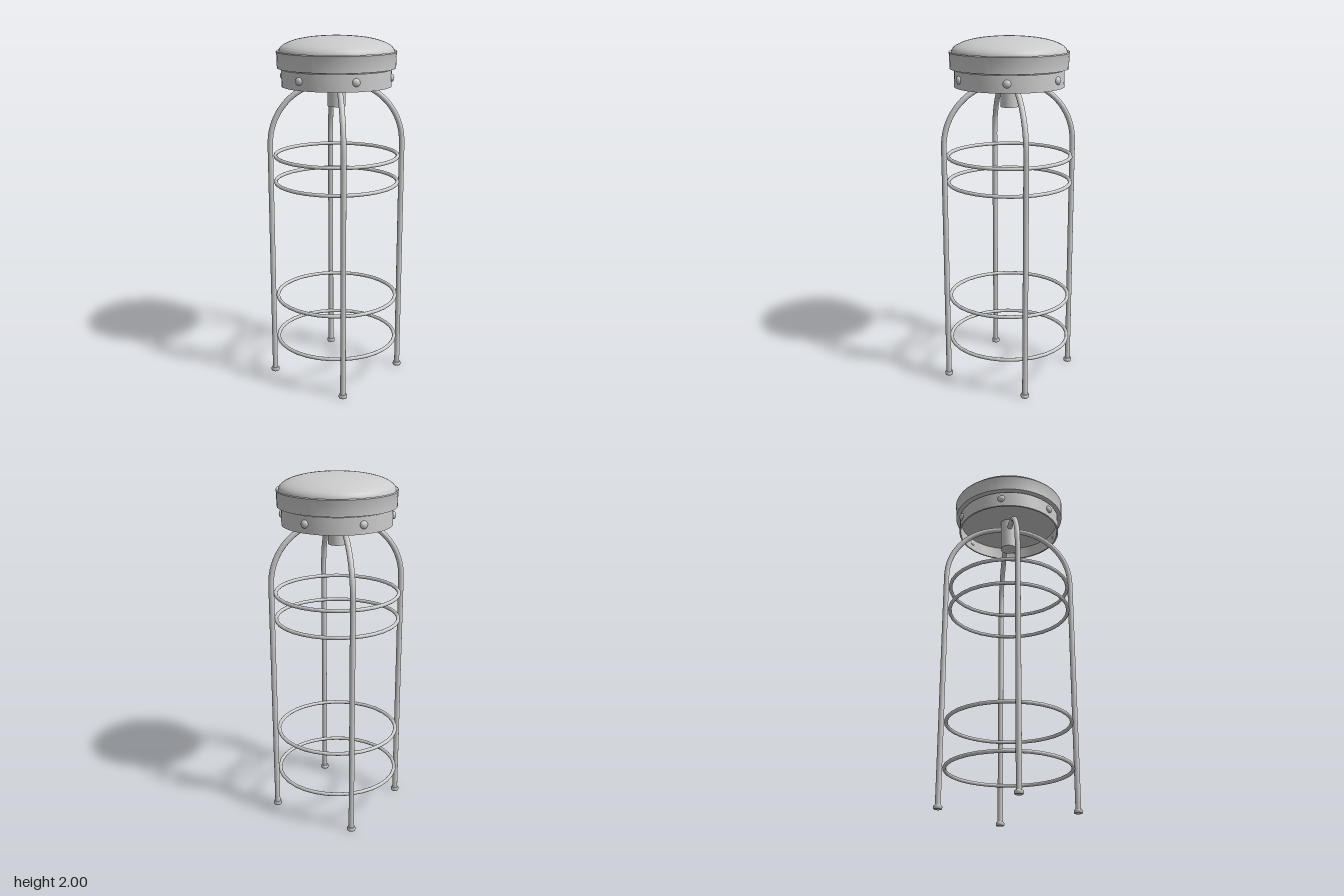
import * as THREE from 'three';
import { toCreasedNormals } from 'three/addons/utils/BufferGeometryUtils.js';

const metal = new THREE.MeshStandardMaterial({ color: 0xcccccc, side: THREE.DoubleSide });

function add(parent, name, geometry, x = 0, y = 0, z = 0) {
  const mesh = new THREE.Mesh(geometry, metal);
  mesh.name = name;
  mesh.position.set(x, y, z);
  parent.add(mesh);
  return mesh;
}

// Round part turned from [radius, height] points, keeping hard edges sharp
function turned(points, segments = 48) {
  const profile = points.map(([r, y]) => new THREE.Vector2(r, y));
  return toCreasedNormals(new THREE.LatheGeometry(profile, segments), 0.6);
}

export function createModel() {
  const stool = new THREE.Group();
  stool.name = 'barStool';

  // Domed cushion
  const dome = new THREE.SplineCurve([
    [0.322, 1.905], [0.316, 1.928], [0.295, 1.949], [0.25, 1.97],
    [0.18, 1.987], [0.09, 1.997], [0, 2.0],
  ].map(([r, y]) => new THREE.Vector2(r, y)));
  add(stool, 'cushion', new THREE.LatheGeometry(dome.getPoints(24), 48));

  // Seat band with a thin lip around the cushion
  add(stool, 'seatBand', turned([
    [0, 1.825], [0.329, 1.825], [0.331, 1.905], [0.334, 1.912], [0.331, 1.918], [0.32, 1.912],
  ]));

  // Hollow skirt below the seat, with a recessed underside
  add(stool, 'skirt', turned([
    [0, 1.8], [0.297, 1.8], [0.297, 1.725], [0.306, 1.725], [0.306, 1.818], [0.29, 1.818], [0.29, 1.826],
  ]));

  // Six domed rivets around the skirt
  const rivets = new THREE.Group();
  rivets.name = 'rivets';
  stool.add(rivets);
  for (let i = 0; i < 6; i++) {
    const a = THREE.MathUtils.degToRad(16 + i * 60);
    const rivet = add(rivets, 'rivet', new THREE.SphereGeometry(0.022, 16, 10),
      0.306 * Math.cos(a), 1.775, 0.306 * Math.sin(a));
    rivet.rotation.y = -a;
    rivet.scale.x = 0.7;
  }

  // Central hub where the legs meet
  add(stool, 'hub', turned([[0, 1.612], [0.05, 1.612], [0.05, 1.802]], 24));

  // Four straight legs that arch in to the hub
  const path = new THREE.CurvePath();
  path.add(new THREE.LineCurve3(new THREE.Vector3(0.375, 0.01, 0), new THREE.Vector3(0.375, 1.4, 0)));
  const arch = [];
  for (let i = 0; i <= 12; i++) {
    const a = (i / 12) * Math.PI / 2;
    arch.push(new THREE.Vector3(0.04 + 0.335 * Math.cos(a), 1.4 + 0.345 * Math.sin(a), 0));
  }
  path.add(new THREE.CatmullRomCurve3(arch));
  const legGeometry = new THREE.TubeGeometry(path, 64, 0.0155, 14);
  const footGeometry = turned([
    [0, 0], [0.022, 0], [0.024, 0.004], [0.024, 0.016], [0.021, 0.021], [0, 0.021],
  ], 20);
  for (let i = 0; i < 4; i++) {
    const leg = new THREE.Group();
    leg.name = 'leg';
    leg.rotation.y = i * Math.PI / 2;
    add(leg, 'legTube', legGeometry);
    add(leg, 'foot', footGeometry, 0.375);
    stool.add(leg);
  }

  // Footrest and bracing rings inside the legs
  for (const y of [0.226, 0.488, 1.183, 1.334]) {
    const ring = add(stool, 'ring', new THREE.TorusGeometry(0.349, 0.0105, 12, 32), 0, y);
    ring.rotation.x = Math.PI / 2;
  }

  return stool;
}
